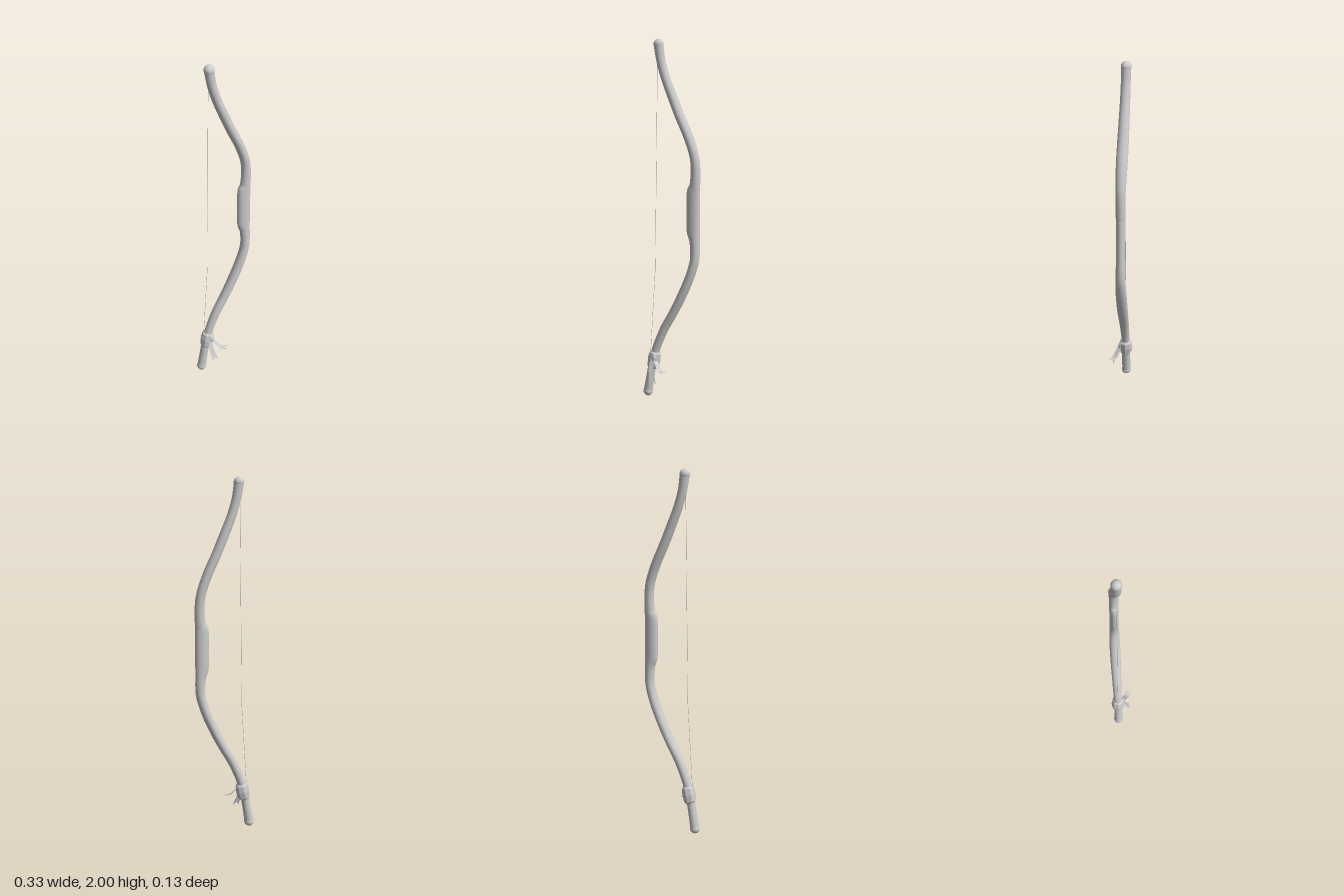
import * as THREE from 'three';

const Z = -0.03; // plane of the bow
const V = (x, y, z) => new THREE.Vector3(x, y, z);

// Build an indexed surface from a grid of rows
function grid(rows, closed) {
  const n = rows[0].length, pos = [], idx = [];
  rows.forEach(r => r.forEach(p => pos.push(p.x, p.y, p.z)));
  for (let i = 0; i < rows.length - 1; i++)
    for (let j = 0; j < (closed ? n : n - 1); j++) {
      const a = i * n + j, b = i * n + (j + 1) % n;
      idx.push(a, b, b + n, a, b + n, a + n);
    }
  const g = new THREE.BufferGeometry();
  g.setAttribute('position', new THREE.Float32BufferAttribute(pos, 3));
  g.setIndex(idx);
  g.computeVertexNormals();
  return g;
}

// Loft rounded sections along a path: [x, y, half width, half depth]
function loft(stations, steps, sides) {
  const path = new THREE.CatmullRomCurve3(stations.map(s => V(s[0], s[1], 0)), false, 'catmullrom', 0.5);
  const size = new THREE.CatmullRomCurve3(stations.map(s => V(s[2], s[3], 0)), false, 'catmullrom', 0.5);
  const rows = [];
  for (let i = 0; i <= steps; i++) {
    const c = path.getPoint(i / steps), t = path.getTangent(i / steps), s = size.getPoint(i / steps);
    const row = [];
    for (let j = 0; j < sides; j++) {
      const a = -j / sides * Math.PI * 2, u = Math.cos(a) * s.x;
      row.push(V(c.x + t.y * u, c.y - t.x * u, Z + Math.sin(a) * s.y));
    }
    rows.push(row);
  }
  return grid(rows, true);
}

// Cloth strip with a swallowtail end; side = half-width vector
function ribbon(points, side, widths, notch) {
  const curve = new THREE.CatmullRomCurve3(points), rows = [], n = 6;
  for (let i = 0; i <= n; i++) {
    const t = i / n, p = curve.getPoint(t);
    const w = side.clone().multiplyScalar(widths[0] + (widths[1] - widths[0]) * t);
    const mid = i === n ? curve.getPoint(1 - notch) : p;
    rows.push([p.clone().sub(w), mid, p.clone().add(w)]);
  }
  return grid(rows, false);
}

export function createModel() {
  const group = new THREE.Group();
  const smooth = new THREE.MeshStandardMaterial({ color: 0xcccccc });
  const faceted = new THREE.MeshStandardMaterial({ color: 0xcccccc, flatShading: true });
  const cloth = new THREE.MeshStandardMaterial({ color: 0xcccccc, flatShading: true, side: THREE.DoubleSide });
  const add = (name, geo, mat) => {
    const m = new THREE.Mesh(geo, mat);
    m.name = name;
    group.add(m);
    return m;
  };

  // Recurved stave with a deeper grip in the middle
  add('stave', loft([
    [-0.143, 0.03, 0.025, 0.025], [-0.128, 0.12, 0.023, 0.024], [-0.112, 0.21, 0.023, 0.024],
    [-0.088, 0.3, 0.023, 0.024], [-0.043, 0.41, 0.024, 0.026], [0.006, 0.5, 0.024, 0.028],
    [0.055, 0.6, 0.025, 0.03], [0.102, 0.71, 0.025, 0.03], [0.13, 0.8, 0.025, 0.028],
    [0.137, 0.86, 0.026, 0.026], [0.134, 0.93, 0.029, 0.025], [0.126, 0.985, 0.037, 0.025],
    [0.125, 1.09, 0.038, 0.025], [0.126, 1.195, 0.037, 0.025], [0.134, 1.235, 0.029, 0.025],
    [0.137, 1.32, 0.026, 0.025], [0.127, 1.4, 0.025, 0.027], [0.092, 1.5, 0.025, 0.03],
    [0.046, 1.6, 0.025, 0.03], [0.004, 1.7, 0.025, 0.028], [-0.036, 1.8, 0.024, 0.026],
    [-0.062, 1.89, 0.024, 0.025], [-0.075, 1.973, 0.026, 0.026],
  ], 110, 24), smooth);

  // Ball tips
  for (const [name, x, y] of [['upperTip', -0.075, 1.973], ['lowerTip', -0.143, 0.027]])
    add(name, new THREE.SphereGeometry(0.027, 24, 16), smooth).position.set(x, y, Z);

  // Thin string, slightly bent towards its lower end
  const ends = [V(-0.08, 1.96, Z), V(-0.097, 0.75, Z), V(-0.14, 0.05, Z)];
  for (let i = 0; i < 2; i++) {
    const a = ends[i], b = ends[i + 1];
    const m = add('string', new THREE.CylinderGeometry(0.001, 0.001, a.distanceTo(b), 6), smooth);
    m.position.copy(a).lerp(b, 0.5);
    m.quaternion.setFromUnitVectors(V(0, 1, 0), a.clone().sub(b).normalize());
  }

  // Cloth wrapped round the lower limb
  const profile = [[0.022, -0.055], [0.034, -0.04], [0.038, 0], [0.034, 0.037], [0.022, 0.05]];
  const wrap = add('clothWrap', new THREE.LatheGeometry(profile.map(p => new THREE.Vector2(...p)), 8), cloth);
  wrap.position.set(-0.105, 0.225, Z);
  wrap.rotation.z = -0.2;

  // Knot on the front of the wrap
  const knot = add('knot', new THREE.SphereGeometry(1, 8, 5), faceted);
  knot.scale.set(0.018, 0.024, 0.012);
  knot.position.set(-0.092, 0.235, 0);

  // Two loose ribbon ends
  add('hangingTail', ribbon(
    [V(-0.1, 0.24, 0.003), V(-0.104, 0.19, 0.018), V(-0.095, 0.145, 0.03), V(-0.085, 0.1, 0.044)],
    V(0.98, 0.1, -0.15), [0.011, 0.019], 0.16), cloth);
  add('flyingTail', ribbon(
    [V(-0.09, 0.235, 0.002), V(-0.066, 0.205, 0.014), V(-0.045, 0.178, 0.029), V(-0.006, 0.178, 0.048)],
    V(0.45, 0.1, -0.89), [0.012, 0.017], 0.2), cloth);

  return group;
}
